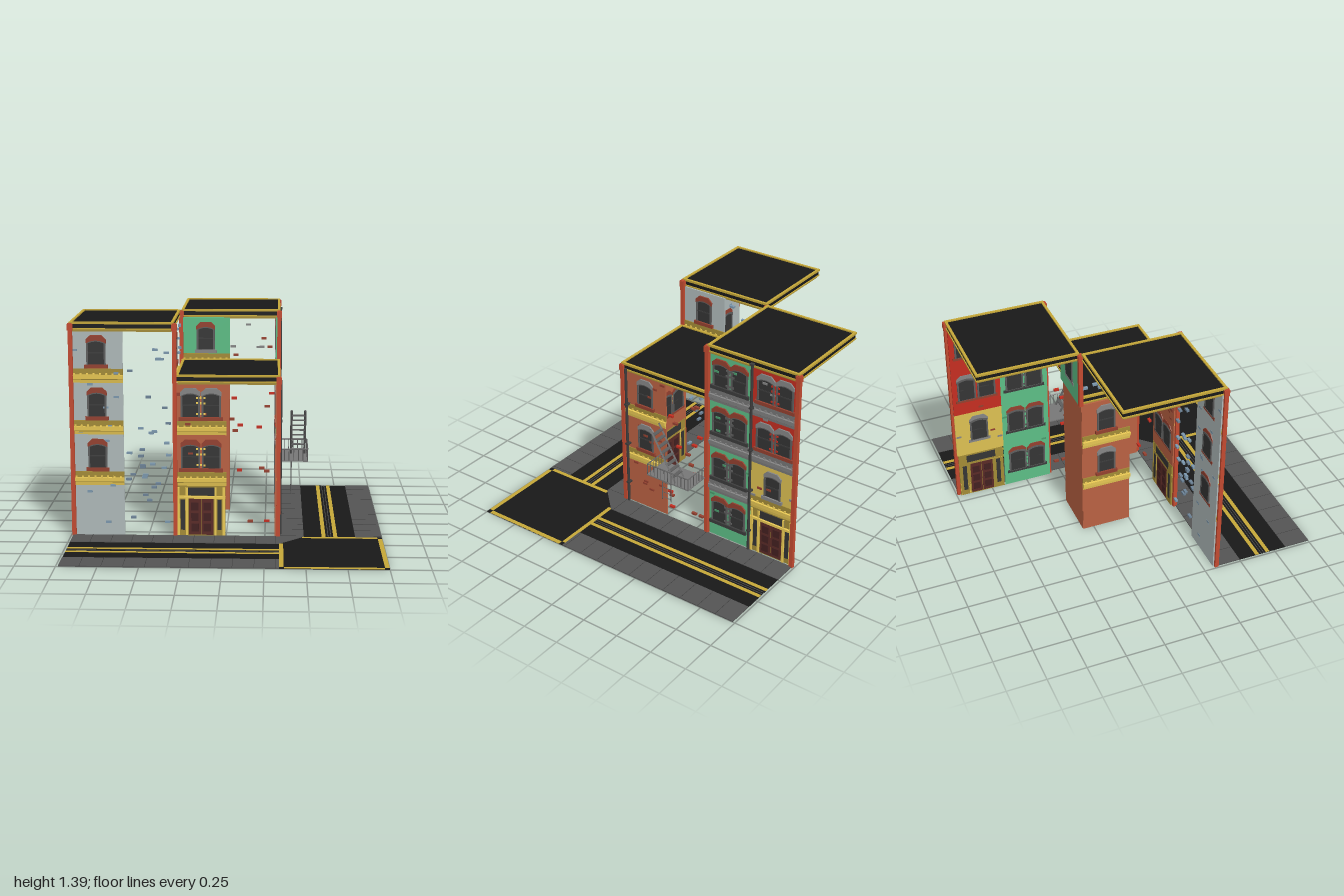
import * as THREE from 'three';

const mats = {};
const mat = (c) => (mats[c] ??= new THREE.MeshStandardMaterial({ color: c, side: THREE.DoubleSide, flatShading: true }));
const C = {
  grey: 0xaeb9b9, rust: 0xb96142, green: 0x5cbd85, red: 0xc42d20, yellow: 0xdcc052, gold: 0xeccb55, olive: 0xa38b36,
  stone: 0x858585, pane: 0x343434, brick: 0x94402f, blue: 0x7b97ad, pillar: 0xc24a30, black: 0x181818,
  walk: 0x545454, line: 0xc4a638, door: 0x5a2a26, iron: 0x5d5d5d, dark: 0x3c3c3c,
};
const FLOOR = 0.333;

// small seeded generator for scattered bricks
let seed = 7;
const rnd = () => (seed = (seed * 16807) % 2147483647) / 2147483647;

function add(parent, name, geo, color, x = 0, y = 0, z = 0) {
  const m = new THREE.Mesh(geo, mat(color));
  m.name = name;
  m.position.set(x, y, z);
  parent.add(m);
  return m;
}
// box given by its extents on each axis
const box = (p, name, color, x0, x1, y0, y1, z0, z1) =>
  add(p, name, new THREE.BoxGeometry(x1 - x0, y1 - y0, z1 - z0), color, (x0 + x1) / 2, (y0 + y1) / 2, (z0 + z1) / 2);
// round or square bar between two points
function bar(p, name, a, b, r = 0.004, color = C.iron, sides = 4) {
  const A = new THREE.Vector3(...a), B = new THREE.Vector3(...b), d = B.clone().sub(A);
  const m = add(p, name, new THREE.CylinderGeometry(r, r, d.length(), sides), color);
  m.position.copy(A).add(B).multiplyScalar(0.5);
  m.quaternion.setFromUnitVectors(new THREE.Vector3(0, 1, 0), d.normalize());
}
function group(parent, name) {
  const g = new THREE.Group();
  g.name = name;
  parent.add(g);
  return g;
}

// arched outline standing on y = 0
function archShape(w, h, rise) {
  const s = new THREE.Shape();
  s.moveTo(-w / 2, 0);
  s.lineTo(w / 2, 0);
  s.lineTo(w / 2, h - rise);
  s.quadraticCurveTo(0, h + rise, -w / 2, h - rise);
  s.closePath();
  return s;
}
const extrude = (s, depth) => new THREE.ExtrudeGeometry(s, { depth, bevelEnabled: false, curveSegments: 4 });

// one sash window with frame, arched lintel and sill; base is the floor line
function windowUnit(p, x, base, trim, lintel) {
  const g = group(p, 'window');
  g.position.set(x, base, 0);
  const frame = archShape(0.122, 0.165, 0.014);
  frame.holes.push(archShape(0.1, 0.152, 0.012));
  add(g, 'windowFrame', extrude(frame, 0.026), C.iron, 0, 0.112, -0.012);
  add(g, 'windowPane', extrude(archShape(0.114, 0.16, 0.014), 0.018), C.pane, 0, 0.114, -0.01);
  box(g, 'sashBar', C.dark, -0.05, 0.05, 0.188, 0.196, -0.01, 0.011);
  const top = new THREE.Shape();
  top.moveTo(-0.064, 0.252);
  top.quadraticCurveTo(0, 0.29, 0.064, 0.252);
  [[0.064, 0.276], [0.036, 0.303], [-0.036, 0.303], [-0.064, 0.276]].forEach((q) => top.lineTo(...q));
  add(g, 'lintel', extrude(top, 0.024), lintel, 0, 0, -0.009);
  box(g, 'sill', trim, -0.074, 0.074, 0.093, 0.116, -0.008, 0.02);
}
function pairWindow(p, x, base, trim, lintel, link) {
  for (const s of [-1, 1]) windowUnit(p, x + s * 0.067, base, trim, lintel);
  for (const y of [0.13, 0.2, 0.235]) box(p, 'windowLink', link, x - 0.03, x + 0.03, base + y, base + y + 0.012, -0.006, 0.013);
}

// moulded ledge between floors, from a side profile
function ledge(p, w, y, color, topColor) {
  const s = new THREE.Shape();
  [[0, 0], [0.01, 0], [0.014, 0.02], [0.022, 0.026], [0.024, 0.052], [0, 0.052]].forEach((q, i) => s[i ? 'lineTo' : 'moveTo'](...q));
  const m = add(p, 'ledge', extrude(s, w), color, w / 2, y, 0);
  m.rotation.y = -Math.PI / 2;
  box(p, 'ledgeTop', topColor, -w / 2, w / 2, y + 0.052, y + 0.09, 0, 0.01);
  for (let i = 0; i < 8; i++) box(p, 'dentil', color, -w / 2 + (i + 0.3) * w / 8, -w / 2 + (i + 0.6) * w / 8, y + 0.052, y + 0.062, 0, 0.016);
}

function bricks(p, x0, x1, y0, y1, n, colors) {
  for (let i = 0; i < n; i++) {
    const x = x0 + 0.02 + rnd() * (x1 - x0 - 0.04), y = y0 + 0.02 + rnd() * (y1 - y0 - 0.04);
    box(p, 'brick', colors[i % colors.length], x - 0.017, x + 0.017, y - 0.007, y + 0.007, -0.006, 0.012);
  }
}

// entrance bay with double door, side lights and transom
function entrance(p) {
  const g = group(p, 'entrance');
  box(g, 'doorSurround', C.olive, -0.155, 0.155, 0, 0.333, -0.006, 0.006);
  box(g, 'transom', C.pane, -0.1, 0.1, 0.268, 0.322, -0.008, 0.01);
  box(g, 'doorHead', C.gold, -0.155, 0.155, 0.25, 0.266, -0.006, 0.02);
  for (const s of [-1, 1]) {
    box(g, 'sideLight', C.pane, s * 0.118 - 0.014, s * 0.118 + 0.014, 0.04, 0.24, -0.008, 0.01);
    for (const x of [0.092, 0.145]) box(g, 'doorPost', C.gold, s * x - 0.007, s * x + 0.007, 0, 0.322, -0.006, 0.016);
    box(g, 'door', C.door, s * 0.04 - 0.038, s * 0.04 + 0.038, 0.008, 0.248, -0.009, 0.01);
    for (const y of [0.03, 0.1, 0.17]) box(g, 'doorPanel', 0x432020, s * 0.04 - 0.024, s * 0.04 + 0.024, y, y + 0.052, -0.01, 0.014);
  }
}

// wall bay: local x along the wall, local z outward
function bay(root, name, x, z, turn) {
  const g = group(root, name);
  g.position.set(x, 0, z);
  g.rotation.y = turn * Math.PI / 2;
  return g;
}
const W = 0.325;
const wall = (p, color, y0, y1) => box(p, 'wall', color, -W / 2, W / 2, y0, y1, -0.005, 0.005);

// flat roof with stepped cornice
function roof(root, x0, x1, z0, z1, top) {
  const g = group(root, 'roof');
  box(g, 'roofUnderside', C.olive, x0 + 0.012, x1 - 0.012, top - 0.062, top - 0.044, z0 + 0.012, z1 - 0.012);
  box(g, 'corniceBand', C.black, x0 + 0.006, x1 - 0.006, top - 0.044, top - 0.008, z0 + 0.006, z1 - 0.006);
  for (const [y0, y1] of [[top - 0.014, top], [top - 0.048, top - 0.04]]) {
    for (const z of [z0, z1 - 0.016]) box(g, 'roofRim', C.line, x0, x1, y0, y1, z, z + 0.016);
    for (const x of [x0, x1 - 0.016]) box(g, 'roofRim', C.line, x, x + 0.016, y0, y1, z0 + 0.016, z1 - 0.016);
  }
}

// straight street running along local x, near kerb at z = 0.34
function street(root, turned) {
  const g = group(root, 'street');
  const strip = (n, c, z0, z1, y0, y1, x0 = -0.985, x1 = 0.34) =>
    turned ? box(g, n, c, z0, z1, y0, y1, x0, x1) : box(g, n, c, x0, x1, y0, y1, z0, z1);
  strip('roadway', C.black, 0.5, 0.83, 0, 0.003);
  for (const [a, b] of [[0.34, 0.5], [0.83, 1]]) {
    strip('sidewalk', C.walk, a, b, 0, 0.007);
    for (let i = 0; i < 10; i++) strip('pavingJoint', C.dark, a, b, 0.002, 0.0078, -0.86 + i * 0.131, -0.857 + i * 0.131);
  }
  for (const z of [0.615, 0.69]) strip('laneLine', C.line, z, z + 0.026, 0.001, 0.0045);
  for (const z of [0.655, 0.673]) strip('laneSeam', C.walk, z, z + 0.004, 0.001, 0.004);
}

function crossing(root) {
  const g = group(root, 'crossing');
  const flat = (n, pts, c, y, h) => {
    const s = new THREE.Shape(pts.map(([x, z]) => new THREE.Vector2(x, -z)));
    add(g, n, extrude(s, h), c, 0, y, 0).rotation.x = -Math.PI / 2;
  };
  flat('crossingRoad', [[0.34, 0.5], [0.34, 1], [1, 1], [1, 0.34], [0.5, 0.34]], C.black, 0, 0.003);
  flat('cornerWalk', [[0.34, 0.34], [0.34, 0.5], [0.5, 0.34]], C.walk, 0, 0.007);
  box(g, 'stopLine', C.line, 0.49, 0.97, 0.001, 0.0045, 0.34, 0.367);
  box(g, 'stopLine', C.line, 0.34, 0.367, 0.001, 0.0045, 0.49, 0.97);
  box(g, 'stopLine', C.line, 0.37, 0.97, 0.001, 0.0045, 0.972, 1);
  box(g, 'stopLine', C.line, 0.972, 1, 0.001, 0.0045, 0.37, 0.97);
}

function fireEscape(root) {
  const g = group(root, 'fireEscape');
  box(g, 'platform', 0x777777, 0.34, 0.53, 0.42, 0.428, -0.32, 0.005);
  const rail = (a, b, n) => {
    bar(g, 'handrail', [a[0], 0.503, a[1]], [b[0], 0.503, b[1]], 0.005);
    for (let i = 0; i <= n; i++) {
      const x = a[0] + (b[0] - a[0]) * i / n, z = a[1] + (b[1] - a[1]) * i / n;
      bar(g, 'railPost', [x, 0.425, z], [x, 0.503, z], 0.003);
    }
  };
  rail([0.527, -0.317], [0.527, 0.002], 12);
  rail([0.345, 0.002], [0.527, 0.002], 6);
  rail([0.345, -0.317], [0.527, -0.317], 6);
  // stair rising toward the front and drop ladder below
  const stair = (t) => [0.428 + 0.332 * t, -0.205 + 0.19 * t];
  for (const x of [0.42, 0.51]) bar(g, 'stairStringer', [x, ...stair(0)], [x, ...stair(1)], 0.008);
  for (let i = 1; i < 9; i++) box(g, 'stairTread', C.iron, 0.42, 0.51, stair(i / 9)[0] - 0.003, stair(i / 9)[0] + 0.003, stair(i / 9)[1] - 0.012, stair(i / 9)[1] + 0.012);
  for (const z of [-0.035, -0.105]) bar(g, 'ladderRail', [0.42, 0.19, z], [0.42, 0.425, z]);
  for (let i = 0; i < 6; i++) bar(g, 'ladderRung', [0.42, 0.21 + i * 0.038, -0.035], [0.42, 0.21 + i * 0.038, -0.105], 0.003);
}

export function createModel() {
  const root = new THREE.Group();
  root.name = 'streetCorner';
  street(root, false);
  street(root, true);
  crossing(root);

  // left building: grey front bay, open bay with loose bricks
  const a = bay(root, 'leftFront', -0.815, 0.318, 0);
  wall(a, C.grey, 0, 1.333);
  for (let f = 1; f < 4; f++) {
    ledge(a, W, f * FLOOR, C.gold, C.olive);
    windowUnit(a, -0.005, f * FLOOR, C.brick, C.brick);
  }
  bricks(a, -W / 2, W / 2, 0, 1.33, 14, [C.blue]);
  bricks(bay(root, 'leftOpenBay', -0.49, 0.318, 0), -0.17, 0.16, 0, 1.33, 30, [C.blue, 0x6c8296]);

  // upper bays overlooking the corner roof
  for (const [n, x, z, t, c] of [['leftUpper', -0.335, 0.165, 1, C.grey], ['backUpper', -0.16, -0.335, 0, C.green]]) {
    const u = bay(root, n, x, z, t);
    wall(u, c, 1.0, 1.333);
    ledge(u, W, FLOOR * 3, C.gold, C.olive);
    windowUnit(u, 0, FLOOR * 3, t ? C.brick : C.stone, C.brick);
    bricks(u, W / 2, W * 1.5, 1.06, 1.33, 7, t ? [C.blue] : [C.stone, C.brick]);
  }

  // corner building
  const b = bay(root, 'cornerFront', -0.16, 0.318, 0);
  wall(b, C.rust, FLOOR, 1);
  entrance(b);
  for (let f = 1; f < 3; f++) {
    ledge(b, W, f * FLOOR, C.gold, C.olive);
    pairWindow(b, 0, f * FLOOR, C.brick, f === 2 ? C.stone : C.brick, C.gold);
  }
  bricks(b, -W / 2, W / 2, 0.4, 1, 8, [C.brick]);
  bricks(b, W / 2, W * 1.45, 0.05, 1, 12, [C.brick, C.red]);
  for (const [n, x, z, t] of [['cornerRight', 0.318, 0.165, 1], ['cornerLeft', -0.32, -0.16, -1]]) {
    const s = bay(root, n, x, z, t);
    wall(s, C.rust, 0, 1);
    for (let f = 1; f < 3; f++) {
      ledge(s, W, f * FLOOR, C.gold, C.olive);
      windowUnit(s, 0, f * FLOOR, C.brick, C.stone);
    }
    if (t > 0) {
      bricks(s, -W / 2, W / 2, 0, 1, 14, [C.brick]);
      bricks(s, W / 2, W * 1.45, 0.05, 1, 16, [C.brick, C.red]);
    }
  }
  wall(bay(root, 'cornerBack', -0.16, -0.32, 2), C.rust, 0, 1);

  // back building: green bay and red bay along the side street
  const c = bay(root, 'backGreen', 0.318, -0.49, 1), d = bay(root, 'backRed', 0.318, -0.815, 1);
  wall(c, C.green, 0, 1.333);
  wall(d, C.red, FLOOR * 2, 1.333);
  box(d, 'wall', C.yellow, -W / 2, W / 2, FLOOR, FLOOR * 2, -0.005, 0.005);
  entrance(d);
  for (let f = 0; f < 4; f++) {
    if (f) ledge(c, W, f * FLOOR, C.stone, 0x757575);
    pairWindow(c, 0, f * FLOOR, C.dark, C.brick, C.iron);
    if (f) ledge(d, W, f * FLOOR, f === 1 ? C.gold : C.stone, f === 1 ? C.olive : 0x757575);
    if (f === 1) windowUnit(d, 0, FLOOR, C.stone, C.stone);
    if (f > 1) pairWindow(d, 0, f * FLOOR, C.brick, C.stone, C.red);
  }
  bricks(c, -W / 2, W / 2, 0, 1.33, 12, [0x4a9a6c]);
  bricks(d, -W / 2, W / 2, 0.4, 1.33, 10, [C.brick, C.stone]);

  // corner pillars with caps
  for (const [x, z, y0, y1] of [[-0.98, 0.335, 0, 1.38], [-0.325, 0.335, 0, 1.38], [0.335, 0.335, 0, 1.045], [0.335, -0.328, 0, 1.38], [0.335, -0.98, 0, 1.38], [-0.325, -0.328, 1, 1.38]]) {
    box(root, 'pillar', C.pillar, x - 0.013, x + 0.013, y0, y1, z - 0.013, z + 0.013);
    box(root, 'pillarCap', C.pillar, x - 0.017, x + 0.017, y1 - 0.045, y1 - 0.005, z - 0.017, z + 0.017);
  }
  // drainpipes with brackets
  for (const [z, h] of [[0.303, 1.02], [-0.66, 1.36]]) {
    bar(root, 'drainpipe', [0.347, 0.01, z], [0.347, h, z], 0.009, C.dark, 8);
    for (let y = 0.15; y < h; y += 0.3) box(root, 'pipeBracket', C.dark, 0.318, 0.358, y, y + 0.012, z - 0.012, z + 0.012);
  }

  roof(root, -0.985, -0.33, -0.322, 0.342, 1.388);
  roof(root, -0.318, 0.342, -0.32, 0.342, 1.055);
  roof(root, -0.322, 0.342, -0.985, -0.33, 1.388);
  fireEscape(root);
  return root;
}
